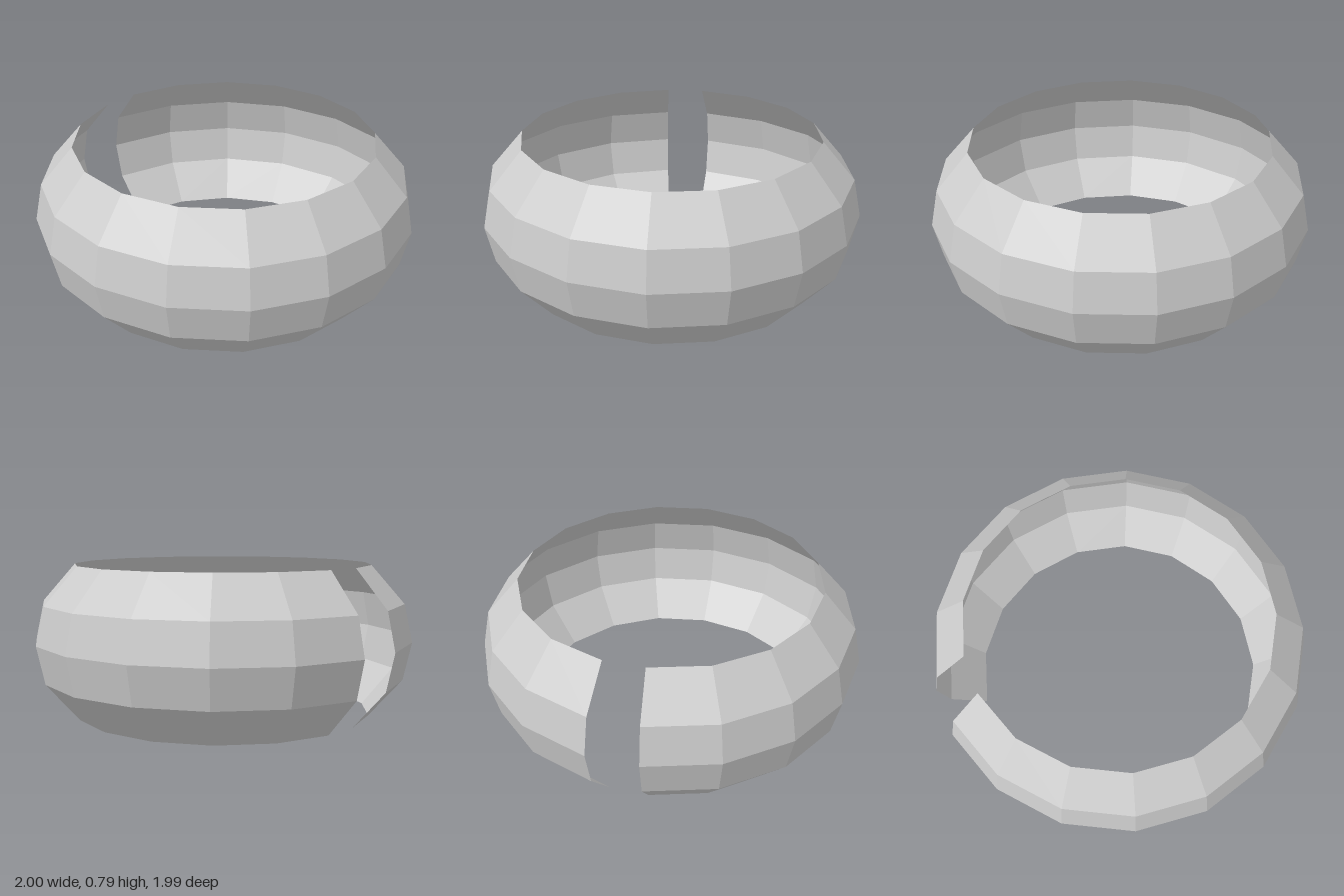
import * as THREE from 'three';

export function createModel() {
  const model = new THREE.Group();
  model.name = 'openCuff';

  // Bulging cross-section of the thin band: radius, height
  const profile = [
    [0.786, 0], [0.958, 0.197], [1.001, 0.394], [0.958, 0.591], [0.786, 0.788],
  ].map(([r, y]) => new THREE.Vector2(r, y));

  // Sweep around the y axis, leaving a narrow gap at the back
  const half = THREE.MathUtils.degToRad(172.55);
  const geometry = new THREE.LatheGeometry(profile, 16, -half, 2 * half);

  const band = new THREE.Mesh(geometry, new THREE.MeshStandardMaterial({
    color: 0xcccccc, flatShading: true, side: THREE.DoubleSide,
  }));
  band.name = 'band';
  band.position.z = -0.004;
  model.add(band);

  return model;
}
